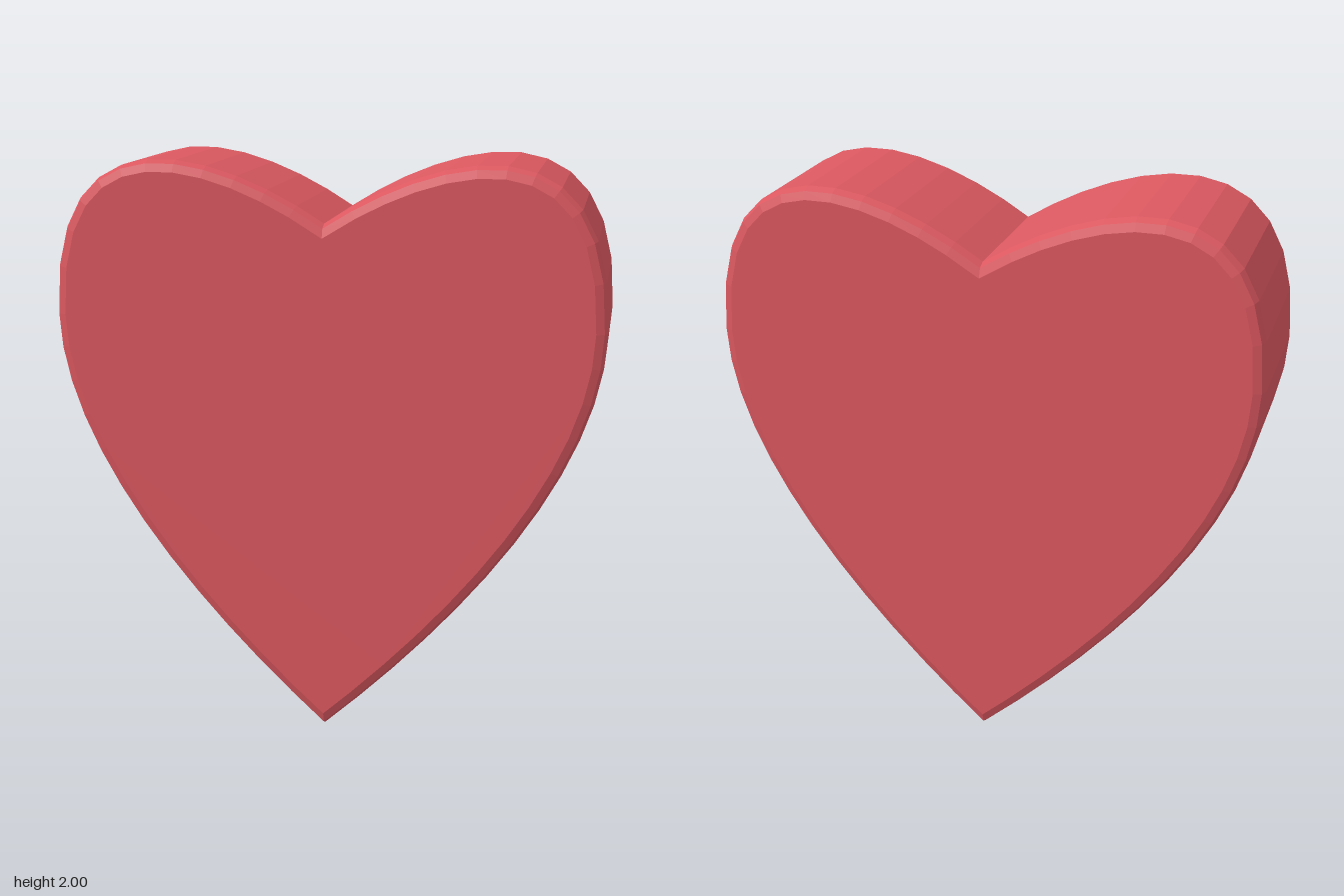
import * as THREE from 'three';

export function createModel() {
  const model = new THREE.Group();
  model.name = 'heartModel';

  const heartRed = new THREE.MeshStandardMaterial({ color: 0xdb5860 });
  heartRed.name = 'heartRed';

  // Heart outline: tip, right flank, right lobe, notch, left lobe, left flank
  const outline = new THREE.Shape();
  outline.moveTo(0, 0);
  outline.bezierCurveTo(0.5, 0.45, 0.94, 1.0, 0.94, 1.47);
  outline.bezierCurveTo(0.94, 2.21, 0.35, 2.03, 0, 1.8);
  outline.bezierCurveTo(-0.35, 2.03, -0.94, 2.21, -0.94, 1.47);
  outline.bezierCurveTo(-0.94, 1.0, -0.5, 0.45, 0, 0);

  // Thick slab with a small two-step bevel that stays inside the outline
  const depth = 0.5;
  const bevel = 0.038;
  const geometry = new THREE.ExtrudeGeometry(outline, {
    depth,
    curveSegments: 12,
    bevelEnabled: true,
    bevelThickness: 0.04,
    bevelSize: bevel,
    bevelOffset: -bevel,
    bevelSegments: 2,
  });
  geometry.translate(0, 0, -depth / 2);

  // The heart stands turned 20 degrees about the vertical
  const heart = new THREE.Mesh(geometry, heartRed);
  heart.name = 'heart';
  heart.rotation.y = THREE.MathUtils.degToRad(20);
  model.add(heart);

  return model;
}
